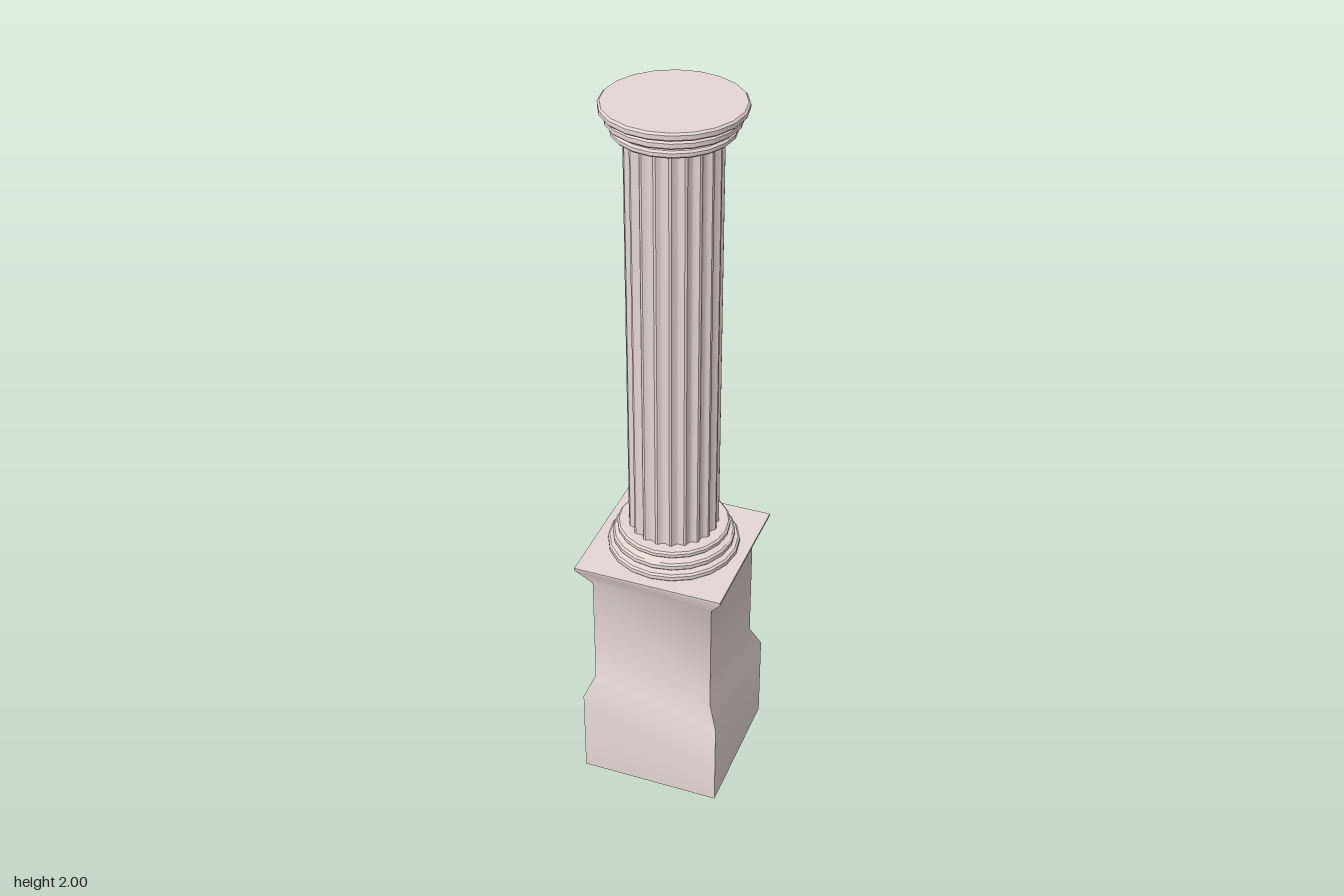
import * as THREE from 'three';
import { toCreasedNormals } from 'three/addons/utils/BufferGeometryUtils.js';

const stone = new THREE.MeshStandardMaterial({ color: 0xe4d5d5 });

// Turn an [r, y] profile (listed from bottom to top) into a solid with flat ends
function turned(name, profile, sides, phiStart = 0) {
  const points = profile.map(([r, y]) => new THREE.Vector2(r, y));
  const geometry = new THREE.LatheGeometry(points, sides, phiStart);
  const mesh = new THREE.Mesh(toCreasedNormals(geometry, 0.65), stone);
  mesh.name = name;
  return mesh;
}

// Three stacked rounded rings, widest at the bottom
function mouldingProfile() {
  const rings = [[0.177, 0, 0.021], [0.164, 0.026, 0.047], [0.151, 0.056, 0.075]];
  const profile = [[0, 0]];
  for (const [r, low, high] of rings) {
    const neck = r - 0.013;
    if (low > 0) profile.push([neck, low]);
    profile.push([r - 0.005, low], [r, low + 0.005], [r, high - 0.005], [r - 0.005, high], [neck, high]);
  }
  profile.push([0, 0.075]);
  return profile;
}

// Shaft outline with concave flutes between narrow ridges
function flutedShaft(radius, height, flutes) {
  const outline = [];
  const steps = 6;
  for (let i = 0; i < flutes; i++) {
    for (let j = 0; j < steps; j++) {
      const angle = ((i + j / steps) / flutes) * Math.PI * 2;
      const r = radius - 0.009 * Math.sin((j / (steps - 1)) * Math.PI);
      outline.push(new THREE.Vector2(r * Math.cos(angle), r * Math.sin(angle)));
    }
  }
  const geometry = new THREE.ExtrudeGeometry(new THREE.Shape(outline), { depth: height, bevelEnabled: false });
  geometry.rotateX(-Math.PI / 2);
  const mesh = new THREE.Mesh(toCreasedNormals(geometry, 0.5), stone);
  mesh.name = 'flutedShaft';
  return mesh;
}

export function createModel() {
  const group = new THREE.Group();
  group.name = 'columnOnPedestal';

  // Square pedestal: plinth, sloped shoulder, die and flared cornice
  const halfWidths = [
    [0, 0], [0.195, 0], [0.195, 0.26], [0.168, 0.325],
    [0.168, 0.655], [0.204, 0.715], [0.204, 0.722], [0, 0.722],
  ];
  const pedestal = halfWidths.map(([w, y]) => [w * Math.SQRT2, y]);
  group.add(turned('pedestal', pedestal, 4, Math.PI / 4));

  // Column base and the same moulding turned over as the capital
  const moulding = mouldingProfile();
  const base = turned('columnBase', moulding, 20);
  base.position.y = 0.722;
  const capital = turned('capital', moulding.map(([r, y]) => [r, 0.075 - y]).reverse(), 20);
  capital.position.y = 1.925;
  group.add(base, capital);

  // Fluted shaft, let slightly into both mouldings
  const shaft = flutedShaft(0.12, 1.15, 20);
  shaft.position.y = 0.785;
  group.add(shaft);

  return group;
}
